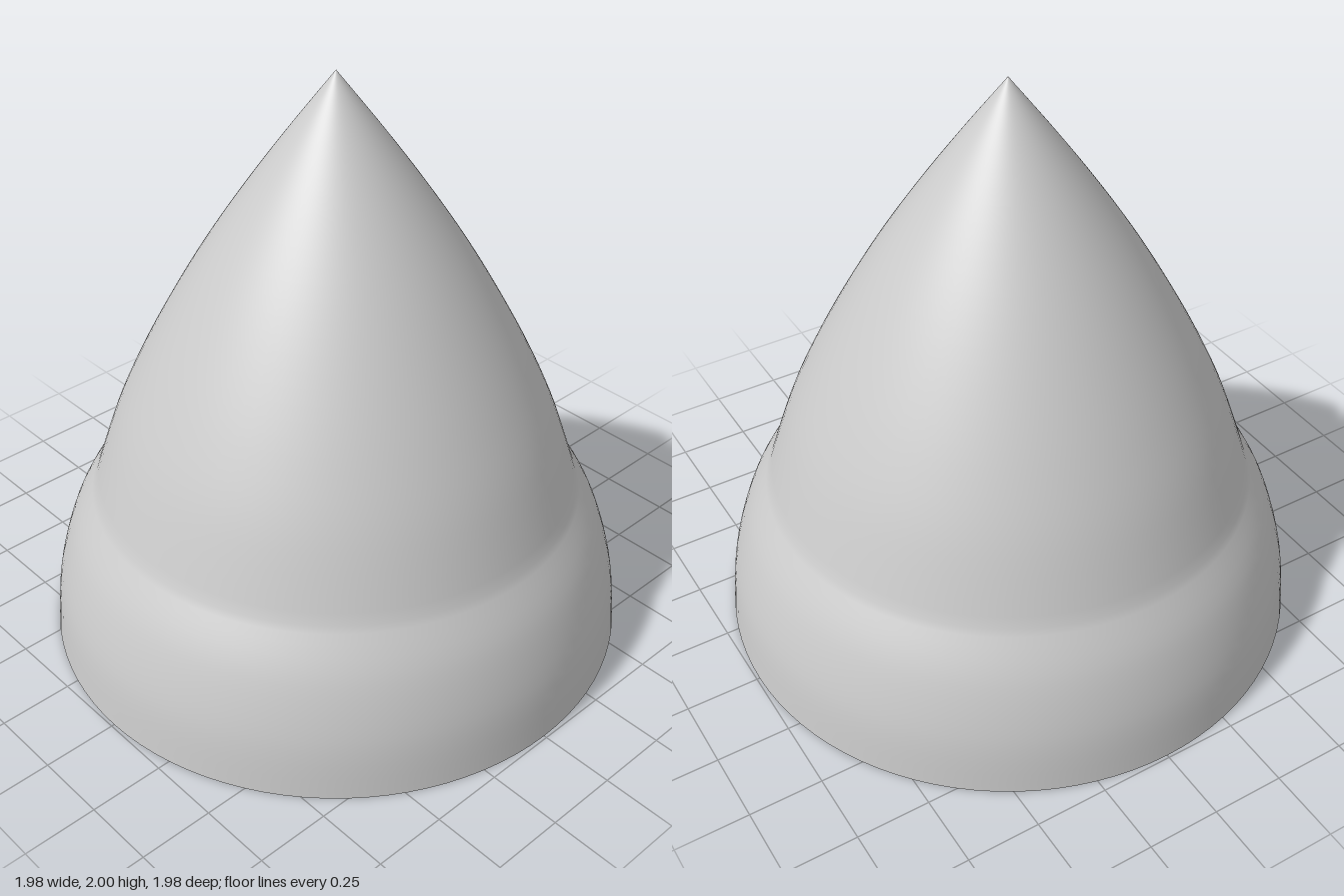
import * as THREE from 'three';

const spline = (pairs, n) =>
  new THREE.SplineCurve(pairs.map(([r, y]) => new THREE.Vector2(r, y))).getPoints(n);

export function createModel() {
  const group = new THREE.Group();
  group.name = 'pointedDome';

  // Bulging skirt at the base, open underneath
  const skirt = spline([[0.99, 0], [0.966, 0.2], [0.905, 0.4], [0.82, 0.555]], 14);
  // Tapering cone with gently bowed sides
  const cone = spline([[0.82, 0.555], [0.735, 0.8], [0.645, 1], [0.54, 1.2],
    [0.423, 1.4], [0.292, 1.6], [0.15, 1.8], [0, 2]], 32);
  cone[cone.length - 1].set(0, 2);

  // One thin shell turned from the joined profile
  const shell = new THREE.Mesh(
    new THREE.LatheGeometry([...skirt, ...cone.slice(1)], 96),
    new THREE.MeshStandardMaterial({ color: 0xcccccc, side: THREE.DoubleSide })
  );
  shell.name = 'shell';
  group.add(shell);
  return group;
}
